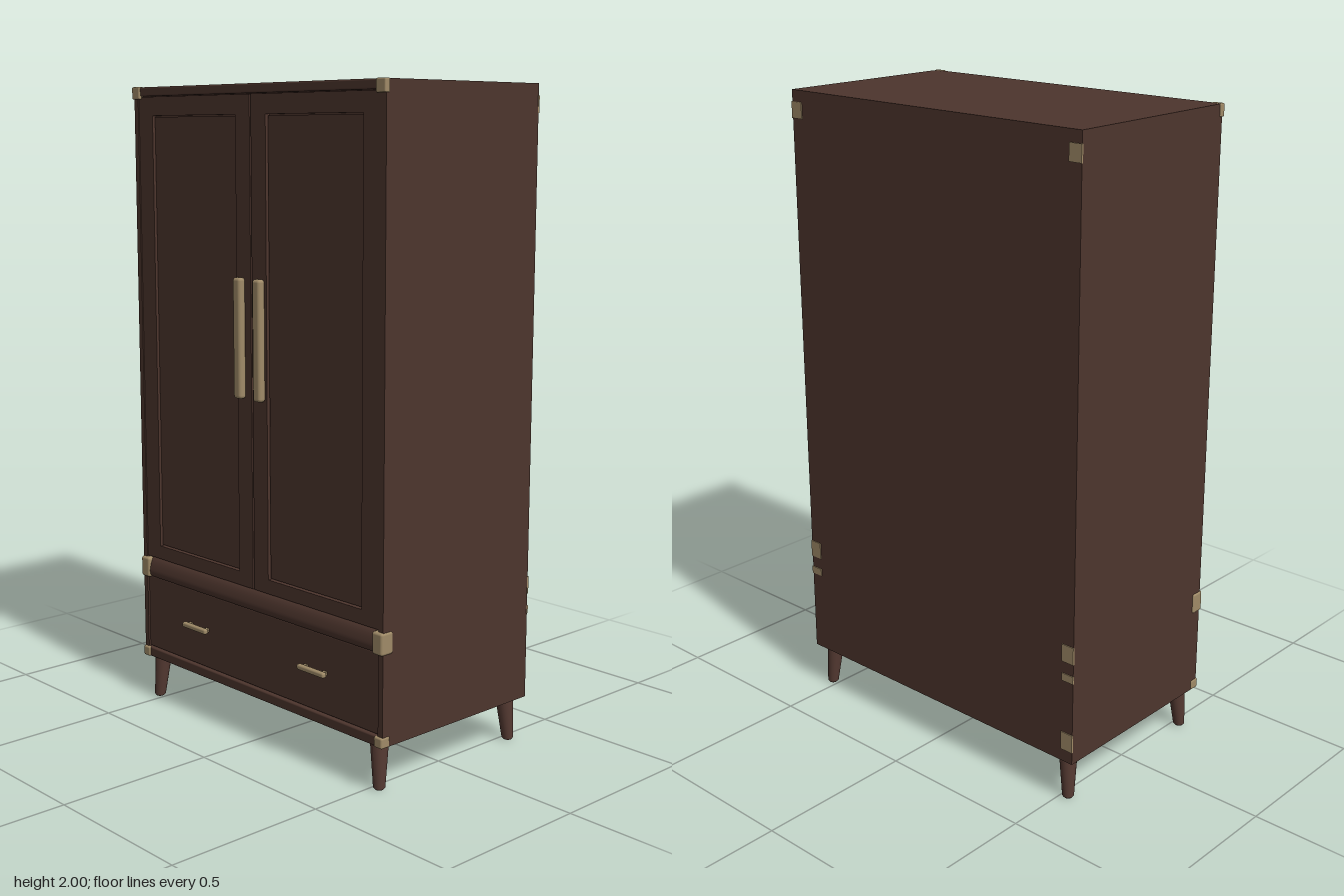
import * as THREE from 'three';
import { RoundedBoxGeometry } from 'three/addons/geometries/RoundedBoxGeometry.js';

export function createModel() {
  const model = new THREE.Group();
  model.name = 'wardrobe';

  const wood = new THREE.MeshStandardMaterial({ color: 0x4d352d });
  wood.name = 'dark walnut';
  const legWood = new THREE.MeshStandardMaterial({ color: 0x563b33 });
  legWood.name = 'leg walnut';
  const brass = new THREE.MeshStandardMaterial({ color: 0xa08b68 });
  brass.name = 'aged brass';

  const add = (name, geometry, material, parent = model) => {
    const mesh = new THREE.Mesh(geometry, material);
    mesh.name = name;
    parent.add(mesh);
    return mesh;
  };
  // Box given by its limits on each axis; r > 0 rounds the edges
  const block = (name, [x0, x1], [y0, y1], [z0, z1], material, r = 0, parent = model) => {
    const size = [x1 - x0, y1 - y0, z1 - z0];
    const geometry = r ? new RoundedBoxGeometry(...size, 3, r) : new THREE.BoxGeometry(...size);
    const mesh = add(name, geometry, material, parent);
    mesh.position.set((x0 + x1) / 2, (y0 + y1) / 2, (z0 + z1) / 2);
    return mesh;
  };
  const span = (s, a, b) => (s > 0 ? [a, b] : [-b, -a]);
  const rectangle = (target, [x0, x1], [y0, y1]) => {
    target.moveTo(x0, y0);
    target.lineTo(x1, y0);
    target.lineTo(x1, y1);
    target.lineTo(x0, y1);
    target.closePath();
    return target;
  };

  // Carcass and the frame around its front
  block('carcass', [-0.562, 0.562], [0.14, 2], [-0.322, 0.282], wood);
  block('topRail', [-0.562, 0.562], [1.972, 2], [0.275, 0.302], wood, 0.005);
  block('bottomRail', [-0.562, 0.562], [0.14, 0.172], [0.275, 0.302], wood, 0.005);
  block('drawerFront', [-0.545, 0.545], [0.174, 0.416], [0.27, 0.294], wood, 0.003);

  // Middle ledge with a sloped top edge
  const ledge = new THREE.Shape();
  ledge.moveTo(0.27, 0.418);
  ledge.lineTo(0.298, 0.418);
  ledge.quadraticCurveTo(0.306, 0.428, 0.303, 0.445);
  ledge.quadraticCurveTo(0.298, 0.475, 0.285, 0.484);
  ledge.lineTo(0.27, 0.484);
  const ledgeMesh = add('middleLedge',
    new THREE.ExtrudeGeometry(ledge, { depth: 1.124, bevelEnabled: false }), wood);
  ledgeMesh.rotation.y = -Math.PI / 2;
  ledgeMesh.position.x = 0.562;
  ledgeMesh.scale.z = 1;

  for (const s of [1, -1]) {
    const side = s > 0 ? 'left' : 'right';
    block(side + 'Stile', span(s, 0.543, 0.562), [0.15, 1.99], [0.275, 0.3], wood);

    // Door: frame with an opening, and a sunken panel
    const frame = rectangle(new THREE.Shape(), span(s, 0.003, 0.541), [0.486, 1.97]);
    frame.holes.push(rectangle(new THREE.Path(), span(s, 0.068, 0.472), [0.53, 1.912]));
    const door = add(side + 'DoorFrame',
      new THREE.ExtrudeGeometry(frame, { depth: 0.02, bevelEnabled: false }), wood);
    door.position.z = 0.278;
    block(side + 'DoorPanel', span(s, 0.072, 0.468), [0.534, 1.908], [0.275, 0.291], wood);

    // Upright door handle
    block(side + 'DoorHandle', span(s, 0.027, 0.062), [1.073, 1.437], [0.296, 0.322], brass, 0.01);

    // Drawer pull: bar on two posts
    const pull = new THREE.Group();
    pull.name = side + 'DrawerPull';
    model.add(pull);
    block('pullBar', span(s, 0.218, 0.335), [0.292, 0.309], [0.304, 0.321], brass, 0.006, pull);
    for (const x of [0.235, 0.318])
      block('pullPost', span(s, x - 0.006, x + 0.006), [0.295, 0.306], [0.29, 0.31], brass, 0, pull);

    // Brass corner caps on the front edges
    block(side + 'TopCap', span(s, 0.528, 0.565), [1.963, 2.001], [0.288, 0.308], brass, 0.004);
    block(side + 'MiddleCap', span(s, 0.524, 0.566), [0.414, 0.481], [0.262, 0.309], brass, 0.008);
    block(side + 'BottomCap', span(s, 0.532, 0.565), [0.139, 0.172], [0.272, 0.307], brass, 0.006);

    // Thin brass plates on the back
    const plates = [[1.915, 1.965], [0.47, 0.525], [0.408, 0.432]];
    if (s < 0) plates.push([0.18, 0.238]);
    for (const y of plates)
      block(side + 'BackPlate', span(s, 0.52, 0.563), y, [-0.325, -0.319], brass);

    // Tapered legs, straight on their outer faces
    for (const [end, z, d] of [['Front', 0.263, 1], ['Back', -0.279, -1]]) {
      const geometry = new THREE.LatheGeometry([
        [0, 0], [0.013, 0], [0.018, 0.006], [0.028, 0.145],
      ].map(([x, y]) => new THREE.Vector2(x, y)), 20);
      const p = geometry.attributes.position;
      for (let i = 0; i < p.count; i++) {
        const lean = 0.01 * (1 - p.getY(i) / 0.145);
        p.setX(i, p.getX(i) + s * lean);
        p.setZ(i, p.getZ(i) + d * lean);
      }
      geometry.computeVertexNormals();
      add(side + end + 'Leg', geometry, legWood).position.set(s * 0.513, 0, z);
    }
  }
  return model;
}
